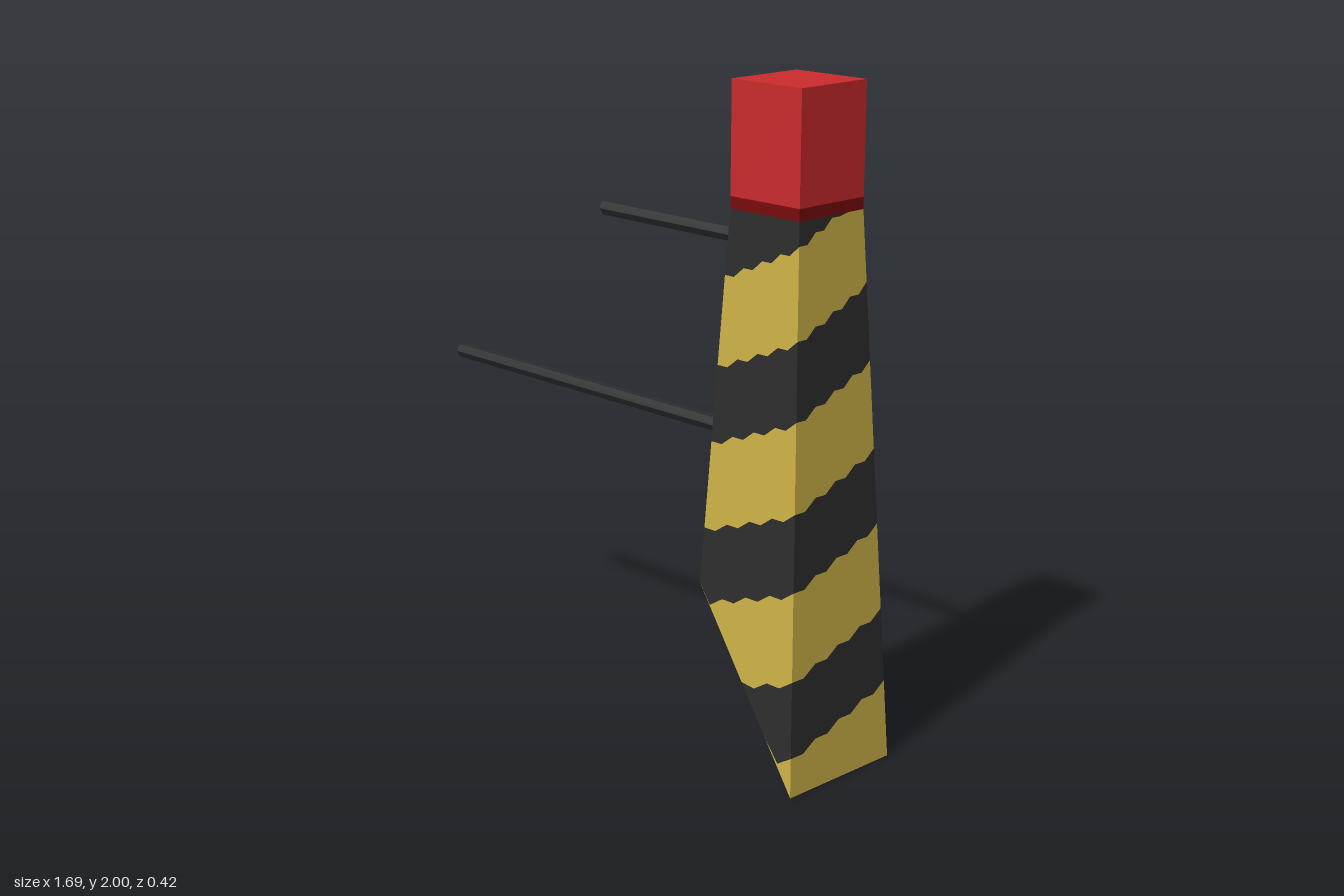
import * as THREE from 'three';

const CX = 0.635, TOP = 1.64, TAPER = 0.08 / TOP, SLOPE = 0.54 / 0.395;
const PITCH = 0.485, BAND = 0.225, COLS = 8;

const halfWidth = (y) => 0.21 - TAPER * y;
// Height of the slanted cut at t = -1 (low x side) to 1 (high x side)
const cutHeight = (t) => (SLOPE * 0.21 * (1 - t)) / (1 - SLOPE * t * TAPER);

// Point on one of the four tapered sides
function sidePoint(face, s, y) {
  const h = halfWidth(y), a = (2 * s - 1) * h;
  return [[a, h], [h, -a], [-a, -h], [-h, a]].map(([x, z]) => [CX + x, y, z])[face];
}

function sideBottom(face, s) {
  return cutHeight([2 * s - 1, 1, 1 - 2 * s, -1][face]);
}

function addPolygon(out, pts) {
  for (let i = 1; i < pts.length - 1; i++) out.push(...pts[0], ...pts[i], ...pts[i + 1]);
}

function meshFrom(positions, material, name) {
  const geo = new THREE.BufferGeometry();
  geo.setAttribute('position', new THREE.Float32BufferAttribute(positions, 3));
  geo.computeVertexNormals();
  const mesh = new THREE.Mesh(geo, material);
  mesh.name = name;
  return mesh;
}

export function createModel() {
  const material = (name, color) => {
    const m = new THREE.MeshStandardMaterial({ color });
    m.name = name;
    return m;
  };
  const yellow = material('yellow', 0xccb147);
  const black = material('black', 0x2d2d2d);
  const red = material('red', 0xcb2b2e);
  const darkRed = material('darkRed', 0x780a0d);
  const rodBlack = material('rodBlack', 0x2b2c2e);

  const model = new THREE.Group();
  model.name = 'stripedPost';

  // Tapered post: stepped stripes spiral once round the four sides per pitch
  const dark = [], light = [];
  for (let face = 0; face < 4; face++) {
    for (let j = 0; j < COLS; j++) {
      const ends = [j, j + 1].map((c) => {
        const s = c / COLS, low = sideBottom(face, s);
        const turn = face + (Math.floor(c / 2) + 0.25) / 4;
        const edge = (k, isTop) => THREE.MathUtils.clamp(
          1.08 + (PITCH / 4) * (turn - 1) + PITCH * k + (isTop ? BAND : 0), low, TOP);
        return { edge, at: (y) => sidePoint(face, s, y) };
      });
      const [a, b] = ends;
      const cell = (out, k0, t0, k1, t1) => {
        const a0 = a.edge(k0, t0), a1 = a.edge(k1, t1), b0 = b.edge(k0, t0), b1 = b.edge(k1, t1);
        if (a1 - a0 < 1e-6 && b1 - b0 < 1e-6) return;
        if (b1 - b0 < 1e-6) addPolygon(out, [a.at(a0), b.at(b0), a.at(a1)]);
        else if (a1 - a0 < 1e-6) addPolygon(out, [a.at(a0), b.at(b0), b.at(b1)]);
        else addPolygon(out, [a.at(a0), b.at(b0), b.at(b1), a.at(a1)]);
      };
      for (let k = -5; k < 4; k++) {
        cell(dark, k, false, k, true);
        cell(light, k, true, k + 1, false);
      }
    }
  }

  // Slanted underside, split diagonally into the two colours
  const A = sidePoint(2, 0, 0), B = sidePoint(0, 1, 0);
  const C = sidePoint(0, 0, cutHeight(-1)), D = sidePoint(2, 1, cutHeight(-1));
  const E = B.map((v, i) => v + (C[i] - v) * 0.67);
  addPolygon(light, [A, B, E]);
  addPolygon(dark, [A, E, C, D]);
  model.add(meshFrom(light, yellow, 'postYellowStripes'));
  model.add(meshFrom(dark, black, 'postBlackStripes'));

  // Red cap above a dark band
  for (const [name, y0, y1, mat] of [['capBand', TOP, 1.675, darkRed], ['cap', 1.675, 2, red]]) {
    const box = new THREE.Mesh(new THREE.BoxGeometry(0.26, y1 - y0, 0.26), mat);
    box.position.set(CX, (y0 + y1) / 2, 0);
    box.name = name;
    model.add(box);
  }

  // Hexagonal rods sticking out sideways
  for (const [name, y, x0] of [['lowerRod', 0.955, -0.847], ['upperRod', 1.533, -0.147]]) {
    const x1 = 0.52;
    const geo = new THREE.CylinderGeometry(0.024, 0.024, x1 - x0, 6).toNonIndexed();
    geo.rotateZ(Math.PI / 2);
    geo.computeVertexNormals();
    const rod = new THREE.Mesh(geo, rodBlack);
    rod.position.set((x0 + x1) / 2, y, 0);
    rod.name = name;
    model.add(rod);
  }
  return model;
}
